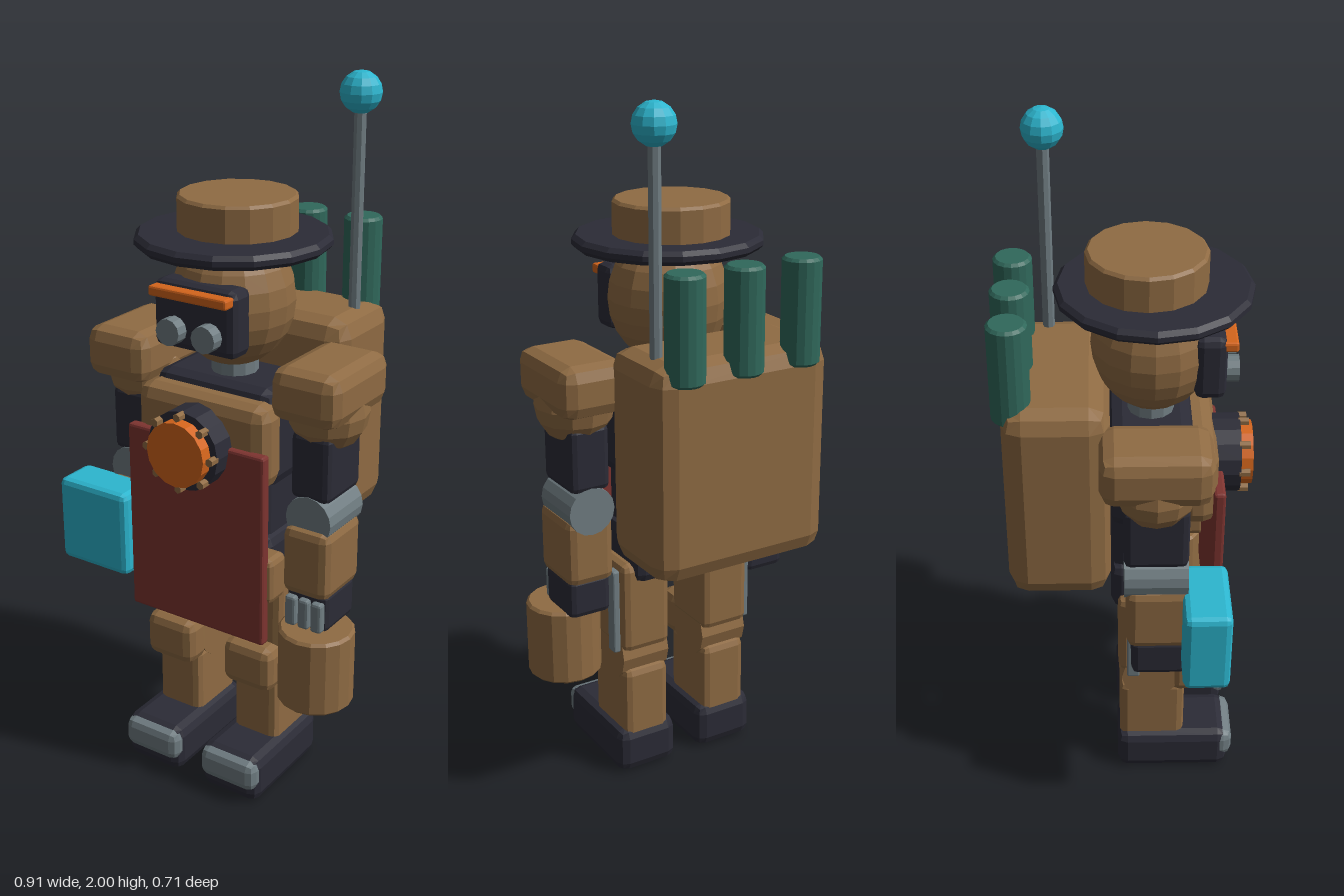
import * as THREE from 'three';
import { RoundedBoxGeometry } from 'three/addons/geometries/RoundedBoxGeometry.js';

const material = (name, color) => {
  const m = new THREE.MeshStandardMaterial({ color });
  m.name = name;
  return m;
};

// Gives every facet its own normal for a low-poly look
const flat = (geometry) => {
  const g = geometry.index ? geometry.toNonIndexed() : geometry;
  g.computeVertexNormals();
  return g;
};

export function createModel() {
  const brown = material('brown leather', 0x8f6b43);
  const dark = material('dark metal', 0x2b2b36);
  const grey = material('grey steel', 0x707d82);
  const cyan = material('cyan', 0x2cb6cf);
  const red = material('red cloth', 0x7e3430);
  const green = material('green canister', 0x30685b);
  const orange = material('orange glow', 0xd4651c);

  const MID = 0.022; // the body's own centre line
  const model = new THREE.Group();
  model.name = 'explorerRobot';

  const add = (name, geometry, mat, x, y, z) => {
    const mesh = new THREE.Mesh(flat(geometry), mat);
    mesh.name = name;
    mesh.position.set(x, y, z);
    model.add(mesh);
    return mesh;
  };
  // Chamfered box given by its x centre and width, and its y and z ranges
  const box = (name, mat, x, w, y0, y1, z0, z1, r = 0.025) =>
    add(name, new RoundedBoxGeometry(w, y1 - y0, z1 - z0, 1, r), mat, x, (y0 + y1) / 2, (z0 + z1) / 2);
  // Upright lathe with slightly bevelled rims
  const drum = (name, mat, radius, y0, y1, x, z, sides = 16, bevel = 0.008) => {
    const h = y1 - y0;
    const profile = [[0, 0], [radius - bevel, 0], [radius, bevel], [radius, h - bevel], [radius - bevel, h], [0, h]];
    return add(name, new THREE.LatheGeometry(profile.map((p) => new THREE.Vector2(...p)), sides), mat, x, y0, z);
  };
  // Cylinder lying along z
  const disc = (name, mat, radius, z0, z1, x, y, sides = 16) =>
    add(name, new THREE.CylinderGeometry(radius, radius, z1 - z0, sides).rotateX(Math.PI / 2), mat, x, y, (z0 + z1) / 2);
  const ball = (name, mat, radius, x, y, z, w = 12, h = 8) =>
    add(name, new THREE.SphereGeometry(radius, w, h), mat, x, y, z);

  // Torso and pelvis
  box('torso', dark, MID, 0.39, 0.93, 1.215, -0.05, 0.19, 0.04);
  box('abdomen', dark, MID, 0.32, 0.72, 0.96, -0.04, 0.16, 0.03);
  box('pelvis', dark, MID, 0.36, 0.62, 0.78, -0.045, 0.18, 0.03);
  box('chestPlate', brown, MID, 0.42, 0.95, 1.19, 0.14, 0.25, 0.04);
  box('apron', red, MID, 0.446, 0.505, 1.07, 0.237, 0.27, 0.008);

  // Chest lamp with a ring of rivets
  disc('lampHousing', dark, 0.113, 0.24, 0.32, MID, 1.057);
  disc('lampLens', orange, 0.092, 0.31, 0.355, MID, 1.057);
  for (let i = 0; i < 8; i++) {
    const a = (i / 8) * Math.PI * 2;
    disc('lampRivet', brown, 0.012, 0.315, 0.345, MID + 0.103 * Math.sin(a), 1.057 + 0.103 * Math.cos(a), 6);
  }

  // Head and face
  drum('neck', grey, 0.065, 1.19, 1.28, MID, 0.07, 12);
  ball('head', brown, 0.17, MID, 1.425, 0.075, 16, 12).scale.y = 1.12;
  box('visor', dark, MID, 0.258, 1.315, 1.5, 0.18, 0.266, 0.022);
  box('browLight', orange, MID, 0.245, 1.46, 1.488, 0.25, 0.294, 0.006);
  for (const s of [-1, 1]) disc('eye', grey, 0.037, 0.25, 0.302, MID + s * 0.056, 1.373, 12);

  // Hat
  drum('hatBrim', dark, 0.266, 1.567, 1.605, MID, 0.075, 16, 0.012);
  drum('hatCrown', brown, 0.163, 1.59, 1.702, MID, 0.056);

  // Backpack, canisters and antenna
  box('backpack', brown, MID, 0.535, 0.745, 1.355, -0.332, -0.045, 0.055);
  for (const i of [-1, 0, 1]) drum('canister', green, 0.054, 1.3, 1.59, MID + i * 0.178, -0.305);
  drum('antennaRod', grey, 0.017, 1.3, 1.92, 0.231, -0.213, 8, 0.002);
  ball('antennaBall', cyan, 0.057, 0.231, 1.943, -0.213);

  for (const s of [-1, 1]) {
    const armX = MID + s * 0.299;
    const legX = MID + s * 0.135;

    // Arm
    box('shoulderPad', brown, MID + s * 0.304, 0.205, 1.158, 1.307, -0.076, 0.225, 0.04);
    ball('shoulderJoint', brown, 0.112, armX + s * 0.003, 1.163, 0.075);
    box('upperArm', dark, armX, 0.12, 0.925, 1.12, -0.012, 0.165, 0.018);
    disc('elbow', grey, 0.07, -0.01, 0.165, armX, 0.868);
    box('forearm', brown, armX, 0.144, 0.642, 0.845, -0.005, 0.185, 0.025);
    box('hand', dark, armX, 0.13, 0.537, 0.66, 0.01, 0.168, 0.018);
    for (const i of [-1, 0, 1]) box('finger', grey, armX + i * 0.041, 0.034, 0.545, 0.635, 0.14, 0.187, 0.008);

    // Belt pouch and hip rod
    box('beltPouch', brown, MID + s * 0.195, 0.08, 0.625, 0.76, 0.165, 0.25, 0.018);
    box('hipRod', grey, MID + s * 0.222, 0.022, 0.4, 0.66, 0, 0.038, 0.005);

    // Leg
    box('thigh', brown, legX, 0.155, 0.4, 0.68, -0.025, 0.165, 0.022);
    add('knee', new THREE.CylinderGeometry(0.085, 0.085, 0.15, 12).rotateZ(Math.PI / 2), brown, legX, 0.375, 0.07);
    box('kneePad', brown, legX, 0.162, 0.315, 0.452, 0.13, 0.225, 0.028);
    box('shin', brown, legX, 0.146, 0.1, 0.34, -0.02, 0.175, 0.022);
    box('boot', dark, legX, 0.192, 0, 0.142, -0.027, 0.312, 0.03);
    box('toeCap', grey, legX, 0.186, 0.043, 0.135, 0.245, 0.326, 0.025);
  }

  // Carried case and bucket
  box('carriedCase', cyan, -0.335, 0.24, 0.585, 0.842, 0.15, 0.281, 0.018);
  drum('bucket', brown, 0.108, 0.315, 0.545, 0.344, 0.145);

  return model;
}
